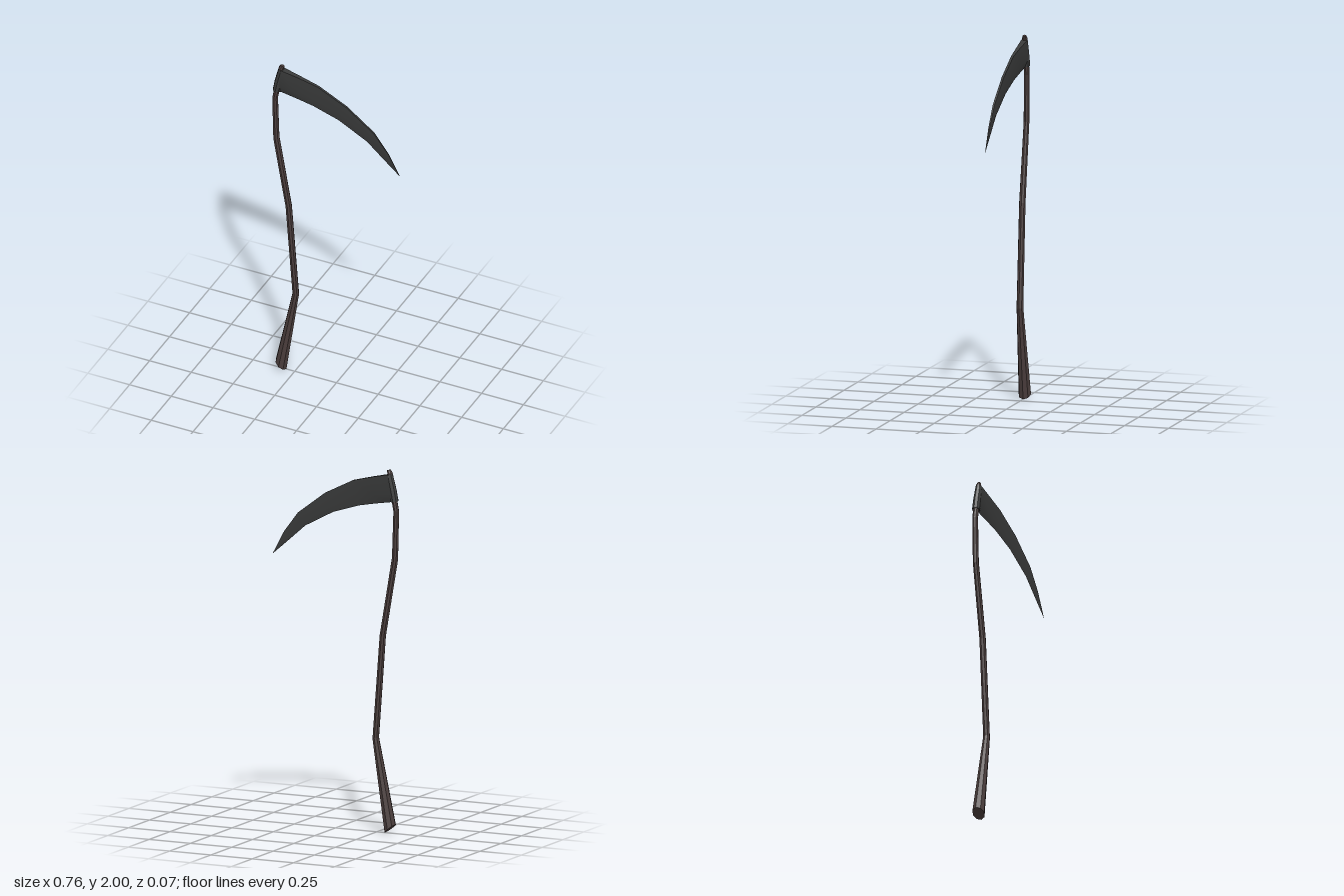
import * as THREE from 'three';
import { toCreasedNormals } from 'three/addons/utils/BufferGeometryUtils.js';

// Skin a list of equal-length rings of [x, y, z] points, closing both ends
function loft(rings) {
  const n = rings[0].length, last = (rings.length - 1) * n, index = [];
  for (let i = 0; i < rings.length - 1; i++) {
    for (let j = 0; j < n; j++) {
      const a = i * n + j, b = i * n + (j + 1) % n;
      index.push(a, a + n, b, b, a + n, b + n);
    }
  }
  for (let j = 1; j < n - 1; j++) {
    index.push(0, j, j + 1, last, last + j + 1, last + j);
  }
  const geo = new THREE.BufferGeometry();
  geo.setAttribute('position', new THREE.Float32BufferAttribute(rings.flat(2), 3));
  geo.setIndex(index);
  return geo;
}

// Elliptical ring spanning a left and a right point, with half depth rz
function ring([xl, yl, xr, yr, rz], sides = 8) {
  return Array.from({ length: sides }, (_, j) => {
    const t = (j / sides) * Math.PI * 2, k = (1 + Math.cos(t)) / 2;
    return [xl + (xr - xl) * k, yl + (yr - yl) * k, Math.sin(t) * rz];
  });
}

export function createModel() {
  const model = new THREE.Group();
  model.name = 'scythe';
  const wood = new THREE.MeshStandardMaterial({ color: 0x4a3d3c, flatShading: true });
  const iron = new THREE.MeshStandardMaterial({ color: 0x3a3b3b, flatShading: true });
  const steel = new THREE.MeshStandardMaterial({ color: 0x3a3b3b });

  const add = (name, geo, mat) => {
    const mesh = new THREE.Mesh(geo, mat);
    mesh.name = name;
    model.add(mesh);
  };

  // Crooked handle, flaring at the foot: left x, y, right x, y, half depth
  add('handle', loft([
    [-0.362, 0.05, -0.3, 0.0, 0.035],
    [-0.262, 0.52, -0.225, 0.512, 0.019],
    [-0.304, 1.08, -0.268, 1.085, 0.018],
    [-0.378, 1.505, -0.342, 1.52, 0.016],
    [-0.384, 1.77, -0.351, 1.775, 0.016],
    [-0.366, 1.87, -0.334, 1.865, 0.016],
    [-0.344, 1.985, -0.315, 1.977, 0.015],
    [-0.333, 2.0, -0.311, 1.994, 0.01],
  ].map(r => ring(r))), wood);

  // Socket wrapped around the handle top
  add('bladeSocket', loft([
    [-0.38, 1.83, -0.336, 1.82, 0.022],
    [-0.369, 1.89, -0.322, 1.88, 0.021],
    [-0.346, 1.978, -0.303, 1.966, 0.018],
  ].map(r => ring(r))), iron);

  // Curved blade: spine x, y, cutting edge x, y, half thickness
  const blade = [
    [-0.325, 1.973, -0.35, 1.823, 0.018],
    [-0.23, 1.953, -0.245, 1.806, 0.012],
    [-0.108, 1.923, -0.14, 1.786, 0.007],
    [0.06, 1.84, 0.013, 1.738, 0.006],
    [0.225, 1.717, 0.183, 1.648, 0.005],
    [0.31, 1.606, 0.28, 1.563, 0.003],
    [0.379, 1.48, 0.378, 1.479, 0.0003],
  ].map(([sx, sy, ex, ey, h]) => {
    const bx = sx + (ex - sx) * 0.7, by = sy + (ey - sy) * 0.7;
    return [[sx, sy, -h], [bx, by, -h], [ex, ey, 0], [bx, by, h], [sx, sy, h]];
  });
  add('blade', toCreasedNormals(loft(blade), 0.7), steel);

  return model;
}
